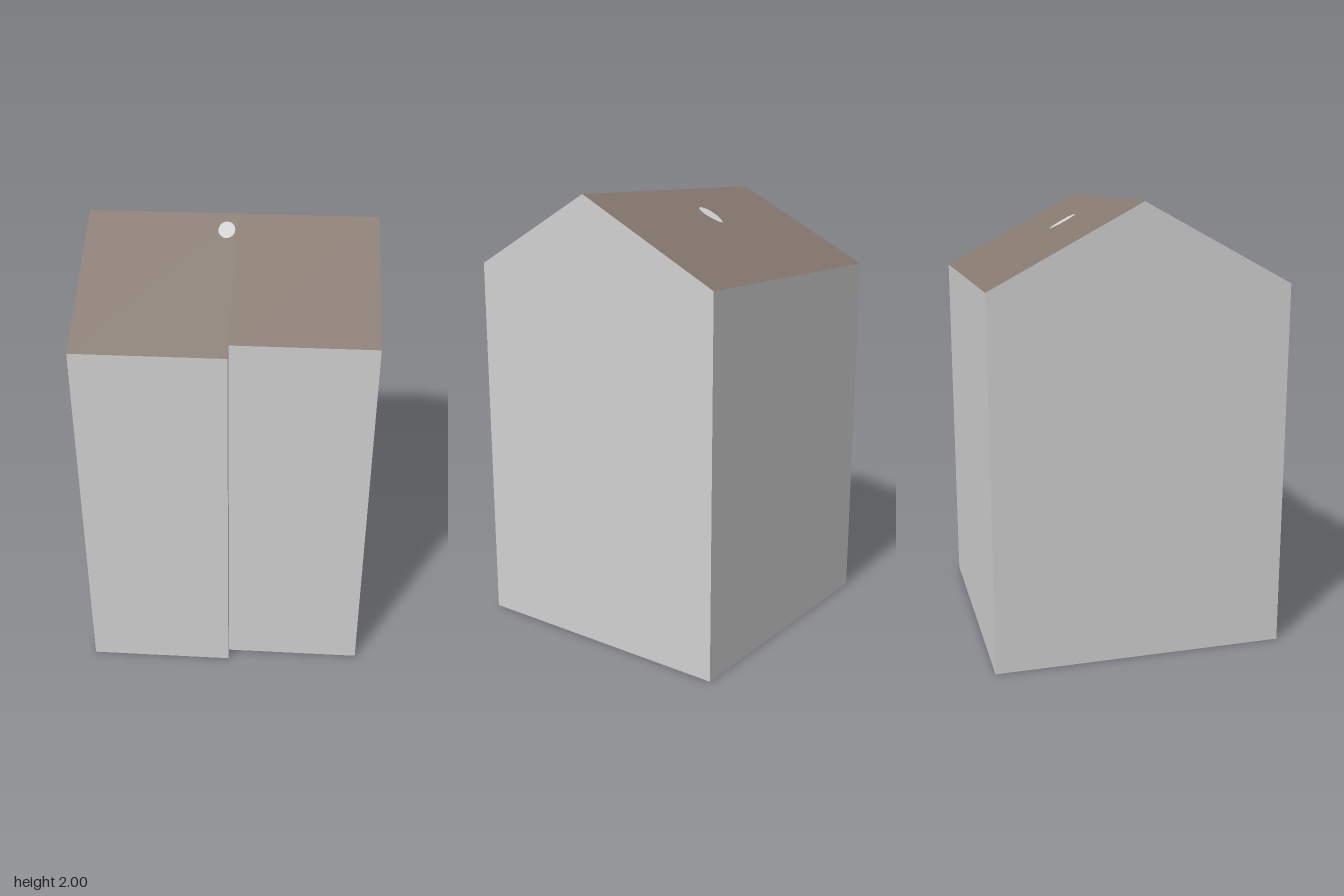
import * as THREE from 'three';

const W = 0.625;      // half width
const D = 0.6575;     // half depth
const INSET = 0.601;  // front wall of the recessed half
const STEP = 0.018;   // x of the step in the front wall
const RIDGE = 2, SLOPE = 0.35 / D;

const roofY = (z) => RIDGE - SLOPE * Math.abs(z);
const floorPt = (x, z) => [x, 0, z];
const roofPt = (x, z, lift = 0) => [x, roofY(z) + lift, z];

// Flat convex polygons, corners anticlockwise from outside, as one mesh
function faces(name, material, polygons) {
  const positions = [];
  for (const p of polygons) {
    for (let i = 1; i < p.length - 1; i++) positions.push(...p[0], ...p[i], ...p[i + 1]);
  }
  const geometry = new THREE.BufferGeometry();
  geometry.setAttribute('position', new THREE.Float32BufferAttribute(positions, 3));
  geometry.computeVertexNormals();
  const mesh = new THREE.Mesh(geometry, material);
  mesh.name = name;
  return mesh;
}

// Upright wall between two ground points, its top following the roof
const wall = (x0, z0, x1, z1) =>
  [floorPt(x0, z0), floorPt(x1, z1), roofPt(x1, z1), roofPt(x0, z0)];

// Rounded patch lying on a roof slope; taper narrows its rear end
function patch(cx, cz, rx, rz, taper) {
  const points = [];
  for (let i = 0; i < 24; i++) {
    const a = (i / 24) * Math.PI * 2;
    const s = Math.sin(a);
    points.push(roofPt(cx + rx * Math.cos(a) * (1 + taper * s), cz + rz * s, 0.003));
  }
  return points.reverse();
}

export function createModel() {
  const wallGrey = new THREE.MeshStandardMaterial({ color: 0xd0d0d0 });
  wallGrey.name = 'wallGrey';
  const roofBrown = new THREE.MeshStandardMaterial({ color: 0x85786f });
  roofBrown.name = 'roofBrown';

  const house = new THREE.Group();
  house.name = 'house';

  house.add(faces('frontWalls', wallGrey, [
    wall(-W, D, STEP, D),
    wall(STEP, D, STEP, INSET),
    wall(STEP, INSET, W, INSET),
  ]));
  house.add(faces('backWall', wallGrey, [wall(W, -D, -W, -D)]));
  house.add(faces('gableWalls', wallGrey, [
    [floorPt(W, INSET), floorPt(W, -D), roofPt(W, -D), roofPt(W, 0), roofPt(W, INSET)],
    [floorPt(-W, -D), floorPt(-W, D), roofPt(-W, D), roofPt(-W, 0), roofPt(-W, -D)],
  ]));
  house.add(faces('floor', wallGrey, [
    [floorPt(-W, D), floorPt(-W, -D), floorPt(STEP, -D), floorPt(STEP, D)],
    [floorPt(STEP, INSET), floorPt(STEP, -D), floorPt(W, -D), floorPt(W, INSET)],
  ]));
  house.add(faces('frontRoof', roofBrown, [
    [roofPt(-W, D), roofPt(STEP, D), roofPt(STEP, 0), roofPt(-W, 0)],
    [roofPt(STEP, INSET), roofPt(W, INSET), roofPt(W, 0), roofPt(STEP, 0)],
  ]));
  house.add(faces('backRoof', roofBrown, [
    [roofPt(W, -D), roofPt(-W, -D), roofPt(-W, 0), roofPt(W, 0)],
  ]));

  // Pale patches on the two slopes
  house.add(faces('frontRoofPatch', wallGrey, [patch(-0.024, 0.084, 0.036, 0.04, 0)]));
  house.add(faces('backRoofPatch', wallGrey, [patch(-0.016, -0.207, 0.036, 0.06, 0.2)]));

  // The house stands slightly turned
  house.rotation.y = 0.0665;

  const model = new THREE.Group();
  model.add(house);
  return model;
}
